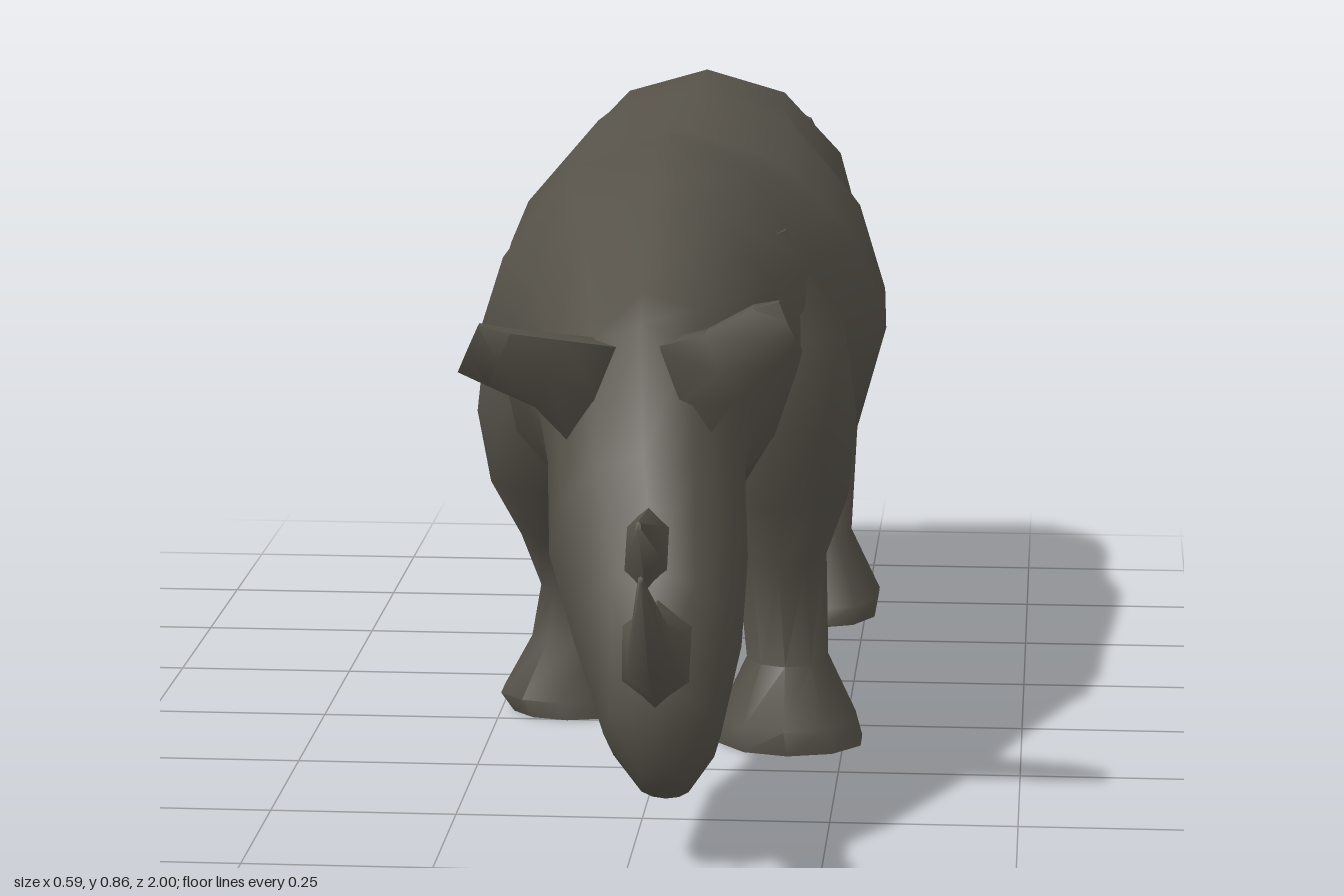
import * as THREE from 'three';
import { toCreasedNormals } from 'three/addons/utils/BufferGeometryUtils.js';

const hide = new THREE.MeshStandardMaterial({ color: 0x57534a });
hide.name = 'greyBrownHide';

const V = (x, y, z) => new THREE.Vector3(x, y, z);

// Skins a row of oval rings { c, u, v, roof } (u x v points along the row) and closes both ends.
// A roof above 1 slopes the upper half of a ring towards a ridge.
function loft(name, rings, sides, crease = 1.2) {
  const pos = [], index = [];
  for (const { c, u, v, roof = 1 } of rings) {
    for (let j = 0; j < sides; j++) {
      const a = Math.PI / 2 + (j / sides) * Math.PI * 2;
      const s = Math.sin(a);
      const p = c.clone().addScaledVector(u, Math.cos(a)).addScaledVector(v, s > 0 ? s ** roof : s);
      pos.push(p.x, p.y, p.z);
    }
  }
  const last = rings.length - 1;
  for (let i = 0; i < last; i++) {
    for (let j = 0; j < sides; j++) {
      const k = (j + 1) % sides;
      const a = i * sides + j, b = i * sides + k;
      index.push(a, b, b + sides, a, b + sides, a + sides);
    }
  }
  const start = rings.length * sides, end = start + 1;
  pos.push(...rings[0].c.toArray(), ...rings[last].c.toArray());
  for (let j = 0; j < sides; j++) {
    const k = (j + 1) % sides;
    index.push(start, k, j, end, last * sides + j, last * sides + k);
  }
  const geo = new THREE.BufferGeometry();
  geo.setAttribute('position', new THREE.Float32BufferAttribute(pos, 3));
  geo.setIndex(index);
  const mesh = new THREE.Mesh(toCreasedNormals(geo, crease), hide);
  mesh.name = name;
  return mesh;
}

// Ring spanning a top point and a bottom point in the side plane.
const spine = ([zt, yt, zb, yb, w, x = 0, roof = 1]) => ({
  c: V(x, (yt + yb) / 2, (zt + zb) / 2),
  u: V(w, 0, 0),
  v: V(0, (yt - yb) / 2, (zt - zb) / 2),
  roof,
});

// Level ring of a leg: height, x range, z range.
const level = ([y, x0, x1, z0, z1]) => ({
  c: V((x0 + x1) / 2, y, (z0 + z1) / 2),
  u: V((x1 - x0) / 2, 0, 0),
  v: V(0, 0, (z1 - z0) / 2),
});

export function createModel() {
  const model = new THREE.Group();
  model.name = 'rhinoceros';

  // Trunk from rump to neck, then the lowered head: zTop, yTop, zBottom, yBottom, halfWidth, x, roof
  model.add(loft('bodyAndHead', [
    [-0.91, 0.68, -0.91, 0.46, 0.1],
    [-0.865, 0.77, -0.865, 0.41, 0.19],
    [-0.8, 0.82, -0.76, 0.38, 0.232],
    [-0.7, 0.85, -0.62, 0.35, 0.238],
    [-0.56, 0.857, -0.54, 0.31, 0.24, 0, 1.1],
    [-0.43, 0.857, -0.41, 0.27, 0.285, 0, 1.25],
    [-0.26, 0.82, -0.25, 0.25, 0.293, 0, 1.25],
    [-0.06, 0.845, -0.06, 0.27, 0.26, 0, 1.3],
    [0.1, 0.865, 0.1, 0.31, 0.25, -0.01, 1.4],
    [0.3, 0.82, 0.22, 0.36, 0.19, -0.005, 1.25],
    [0.48, 0.715, 0.33, 0.36, 0.145],
    [0.575, 0.69, 0.41, 0.285, 0.13, 0.005],
    [0.655, 0.53, 0.5, 0.235, 0.13, 0.015],
    [0.745, 0.4, 0.6, 0.175, 0.108, 0.035],
    [0.815, 0.26, 0.7, 0.12, 0.075, 0.047],
    [0.785, 0.15, 0.735, 0.1, 0.035, 0.05],
  ].map(spine), 12));

  // Legs in mid-stride, each from the hip or shoulder down to a flared foot
  const legs = {
    frontLegLeft: [
      [0.74, 0.06, 0.17, 0.0, 0.2],
      [0.6, 0.05, 0.25, -0.05, 0.25],
      [0.47, 0.05, 0.268, -0.06, 0.24],
      [0.36, 0.07, 0.258, -0.05, 0.19],
      [0.27, 0.095, 0.225, -0.025, 0.15],
      [0.12, 0.11, 0.228, -0.01, 0.125],
      [0.04, 0.07, 0.27, -0.02, 0.18],
      [0.005, 0.07, 0.28, -0.015, 0.175],
    ],
    frontLegRight: [
      [0.74, -0.18, -0.06, -0.06, 0.16],
      [0.6, -0.255, -0.05, -0.1, 0.2],
      [0.47, -0.272, -0.05, -0.12, 0.18],
      [0.36, -0.258, -0.06, -0.13, 0.12],
      [0.27, -0.22, -0.07, -0.125, 0.03],
      [0.19, -0.195, -0.075, -0.125, -0.02],
      [0.11, -0.21, -0.075, -0.135, -0.025],
      [0.03, -0.255, -0.065, -0.15, 0.005],
      [0.005, -0.235, -0.065, -0.135, 0.005],
    ],
    backLegLeft: [
      [0.77, 0.05, 0.16, -0.82, -0.62],
      [0.62, 0.03, 0.235, -0.9, -0.55],
      [0.5, 0.03, 0.252, -0.895, -0.52],
      [0.4, 0.06, 0.25, -0.855, -0.56],
      [0.28, 0.095, 0.235, -0.81, -0.635],
      [0.13, 0.12, 0.228, -0.765, -0.62],
      [0.04, 0.1, 0.275, -0.78, -0.55],
      [0.012, 0.1, 0.27, -0.77, -0.545],
    ],
    backLegRight: [
      [0.77, -0.16, -0.05, -0.84, -0.62],
      [0.62, -0.238, -0.03, -0.925, -0.56],
      [0.48, -0.245, -0.03, -0.945, -0.57],
      [0.37, -0.235, -0.055, -0.925, -0.68],
      [0.21, -0.2, -0.08, -0.99, -0.845],
      [0.12, -0.195, -0.075, -0.96, -0.83],
      [0.035, -0.22, -0.035, -1.0, -0.79],
      [0.01, -0.215, -0.035, -0.995, -0.79],
    ],
  };
  for (const [name, rows] of Object.entries(legs)) {
    model.add(loft(name, rows.map(level), 10, 0.95));
  }

  // Long curved nose horn and a short one behind it
  model.add(loft('noseHorn', [
    [0.73, 0.37, 0.77, 0.22, 0.055, 0.04],
    [0.8, 0.365, 0.85, 0.26, 0.042, 0.045],
    [0.88, 0.38, 0.925, 0.32, 0.027, 0.043],
    [0.997, 0.455, 1.0, 0.445, 0.003, 0.04],
  ].map(spine), 6));
  model.add(loft('browHorn', [
    [0.655, 0.47, 0.74, 0.36, 0.035, 0.025],
    [0.72, 0.475, 0.775, 0.405, 0.026, 0.025],
    [0.815, 0.482, 0.82, 0.47, 0.004, 0.022],
  ].map(spine), 6));

  // Ears swept out to the sides: distance out, height, z, half-width, half-thickness
  const ears = {
    earLeft: [1, [
      [0.05, 0.59, 0.55, 0.085, 0.05],
      [0.11, 0.64, 0.595, 0.055, 0.042],
      [0.17, 0.69, 0.64, 0.045, 0.035],
      [0.2, 0.715, 0.67, 0.03, 0.014],
    ]],
    earRight: [-1, [
      [0.05, 0.59, 0.55, 0.085, 0.05],
      [0.11, 0.63, 0.595, 0.055, 0.042],
      [0.17, 0.655, 0.64, 0.043, 0.035],
      [0.208, 0.672, 0.665, 0.038, 0.02],
    ]],
  };
  for (const [name, [s, rows]] of Object.entries(ears)) {
    model.add(loft(name, rows.map(([x, y, z, w, d]) => ({
      c: V(s * x, y, z),
      u: V(-0.4 * s * w, 0.92 * w, 0),
      v: V(0, 0, s * d),
    })), 6));
  }
  return model;
}
